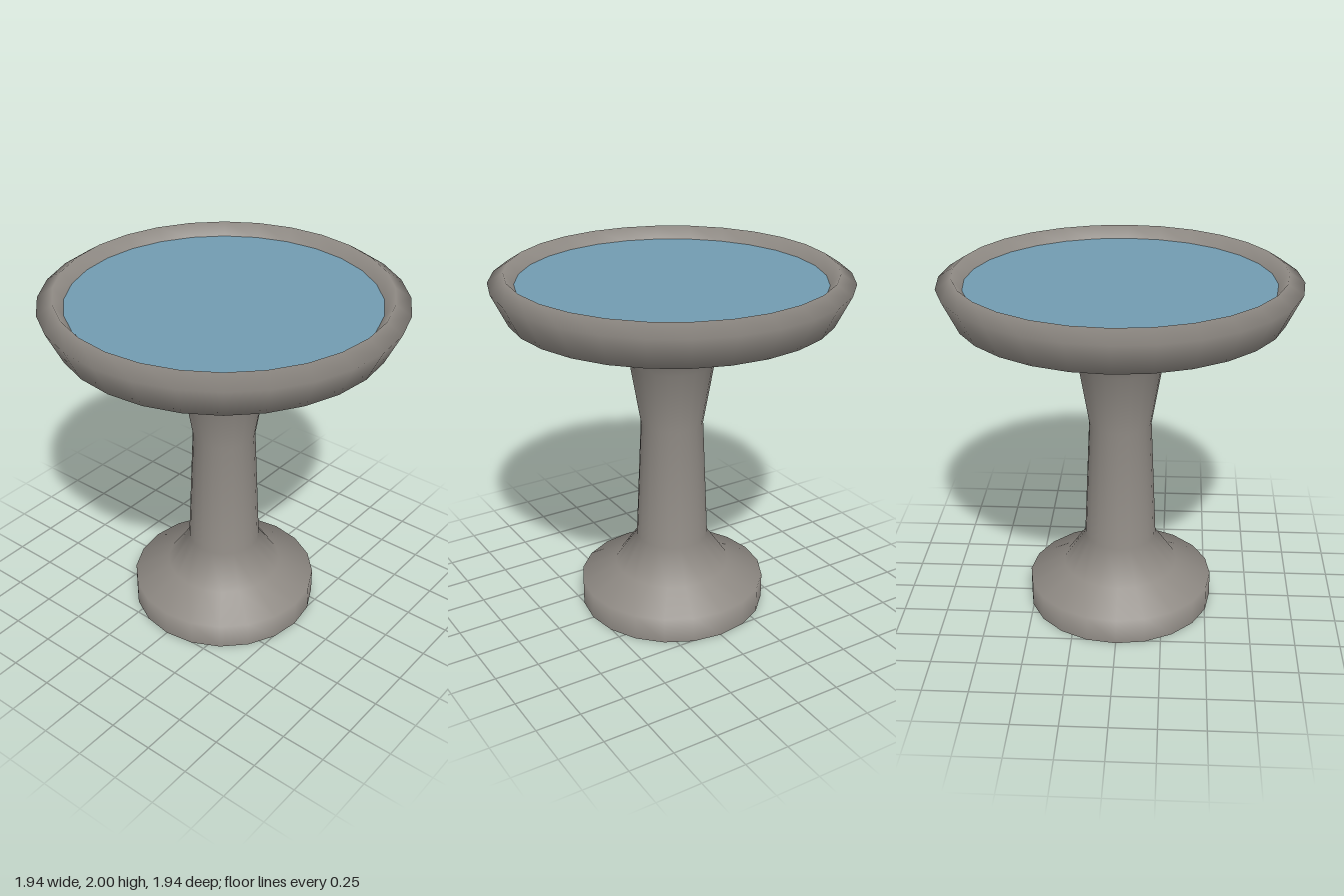
import * as THREE from 'three';

const stone = new THREE.MeshStandardMaterial({ color: 0x8f8a84 });
const water = new THREE.MeshStandardMaterial({ color: 0x729bb0 });

// Turned part from [radius, height] pairs, listed upward along the outside
function turned(name, profile, sides) {
  const points = profile.map(([r, y]) => new THREE.Vector2(r, y));
  const mesh = new THREE.Mesh(new THREE.LatheGeometry(points, sides), stone);
  mesh.name = name;
  return mesh;
}

// Flat horizontal disc facing up or down
function disc(name, radius, y, sides, material, up) {
  const geometry = new THREE.CircleGeometry(radius, sides);
  geometry.rotateX(up ? -Math.PI / 2 : Math.PI / 2);
  const mesh = new THREE.Mesh(geometry, material);
  mesh.position.y = y;
  mesh.name = name;
  return mesh;
}

export function createModel() {
  const group = new THREE.Group();
  group.name = 'birdBath';

  // Pedestal: drum foot, waisted column, flared neck
  group.add(turned('pedestal', [
    [0.53, 0], [0.53, 0.147], [0.33, 0.235], [0.205, 0.415],
    [0.175, 1.12], [0.235, 1.475], [0.34, 1.635],
  ], 20));
  group.add(disc('pedestalUnderside', 0.53, 0, 20, stone, false));

  // Bowl: shallow underside, flared wall, bevelled rim, inner lip and floor
  group.add(turned('bowl', [
    [0.34, 1.635], [0.885, 1.77], [0.97, 1.945], [0.885, 2],
    [0.83, 1.93], [0.76, 1.85], [0, 1.8],
  ], 28));

  // Water surface just below the rim
  group.add(disc('water', 0.832, 1.933, 28, water, true));

  return group;
}
